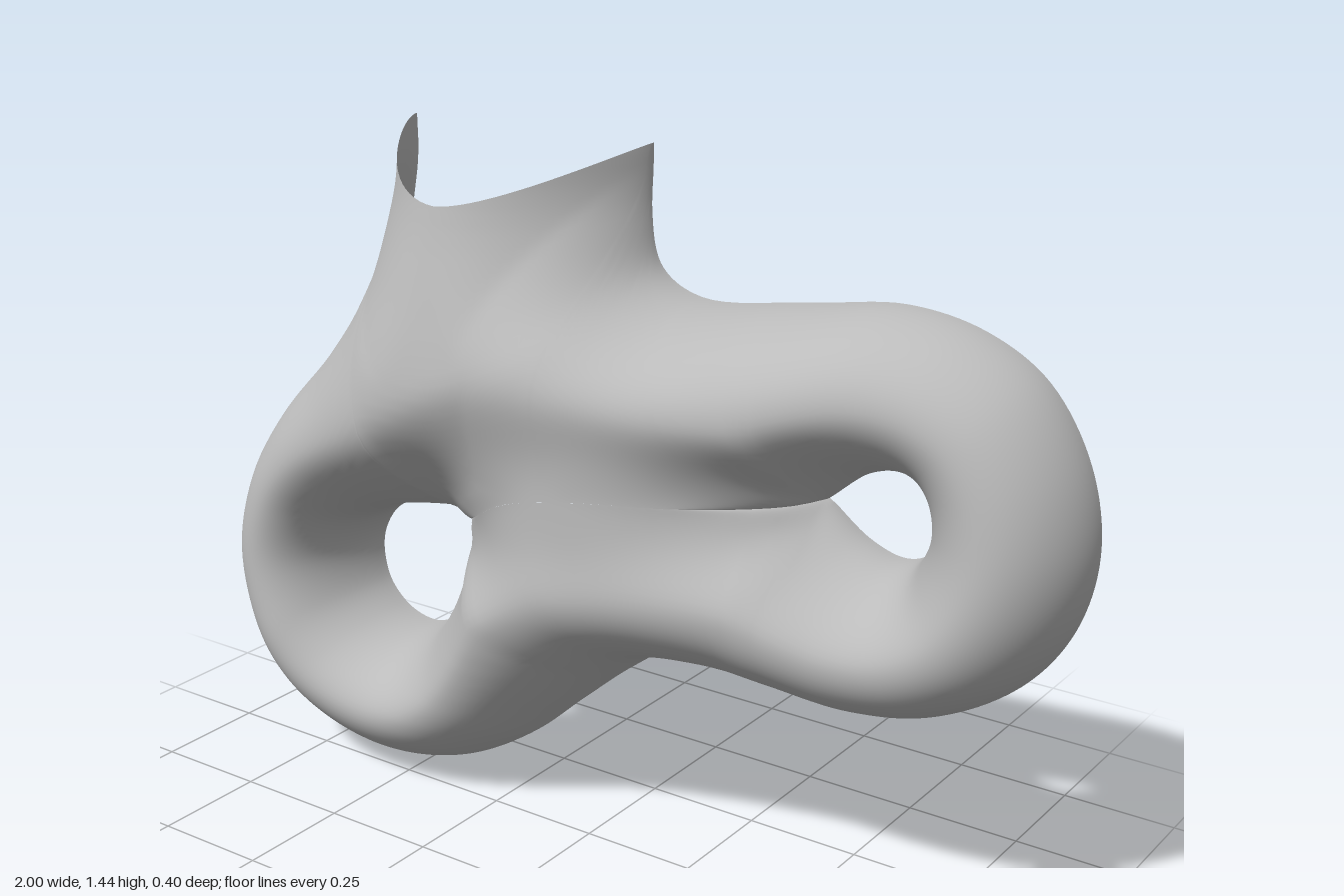
import * as THREE from 'three';

// Outline of the body, from the left neck corner round to the right neck corner
const OUTLINE = [
  [-.588, 1.44], [-.585, 1.305], [-.61, 1.13], [-.71, .97], [-.855, .81], [-.95, .66], [-1, .465], [-.95, .25],
  [-.83, .095], [-.685, .02], [-.54, 0], [-.39, .03], [-.257, .107], [-.123, .225], [0, .33], [.107, .4],
  [.25, .42], [.41, .41], [.57, .4], [.73, .43], [.877, .52], [.968, .652], [1, .807], [.968, .968],
  [.877, 1.107], [.75, 1.18], [.59, 1.207], [.385, 1.18], [.144, 1.155], [.053, 1.2], [.016, 1.305], [.01, 1.44],
];
// Two openings, each starting and ending at its pointed tip, and the valley joining the tips
const LOW_HOLE = [
  [-.375, .6], [-.43, .605], [-.49, .602], [-.54, .596], [-.61, .575], [-.67, .535], [-.7, .465], [-.68, .38],
  [-.63, .33], [-.575, .308], [-.52, .308], [-.46, .345], [-.41, .43], [-.385, .52], [-.375, .6],
];
const HIGH_HOLE = [
  [.445, .8], [.535, .735], [.61, .712], [.655, .725], [.682, .765], [.695, .815], [.685, .865],
  [.66, .892], [.61, .895], [.53, .868], [.445, .8],
];
const VALLEY = [[-.375, .6], [-.25, .68], [-.1, .765], [.05, .8], [.25, .805], [.445, .8]];

// Crest depth across the width and up the height
const CREST_X = [[-1, .09], [-.85, .11], [-.6, .158], [-.45, .198], [-.3, .213], [-.1, .195], [0, .173], [.2, .13], [.4, .08], [.6, .04], [.85, .03], [1, .02]];
const CREST_Y = [[0, .07], [.14, .105], [.3, .117], [.45, .15], [.6, .172], [.75, .185], [.9, .215], [1, .2], [1.1, .175], [1.33, .113], [1.44, .1]];

const { smoothstep, lerp } = THREE.MathUtils;
const curve = (pts) => new THREE.CatmullRomCurve3(pts.map(([x, y]) => new THREE.Vector3(x, y, 0)));

function lookUp(table, v) {
  if (v <= table[0][0]) return table[0][1];
  for (let i = 1; i < table.length; i++) {
    const [a, p] = table[i - 1], [b, q] = table[i];
    if (v <= b) return p + (q - p) * (v - a) / (b - a);
  }
  return table[table.length - 1][1];
}
const smoothLookUp = (t, v) => [-.08, -.04, 0, .04, .08].reduce((sum, o) => sum + lookUp(t, v + o) / 5, 0);

// Distance from (x, y) to a polyline
function distance(line, x, y) {
  let d = Infinity;
  for (let i = 0; i < line.length - 1; i++) {
    const a = line[i], b = line[i + 1], dx = b.x - a.x, dy = b.y - a.y;
    const f = Math.min(1, Math.max(0, ((x - a.x) * dx + (y - a.y) * dy) / (dx * dx + dy * dy || 1)));
    d = Math.min(d, Math.hypot(x - a.x - f * dx, y - a.y - f * dy));
  }
  return d;
}

const ellipse = (q) => Math.sqrt(Math.max(0, 1 - (1 - q) ** 2));
const parabola = (q) => 1 - (1 - q) ** 2;
const soft = (q) => q * q * (3 - 2 * q);

function createShell() {
  const outline = curve(OUTLINE), low = curve(LOW_HOLE), high = curve(HIGH_HOLE), valley = curve(VALLEY);
  const last = OUTLINE.length - 1;
  const wall = [new THREE.Vector3(-.588, 2.2, 0), ...outline.getPoints(last * 8), new THREE.Vector3(.01, 2.2, 0)];
  const innerLines = [low.getPoints(112), high.getPoints(80), valley.getPoints(96)];

  // Each inner edge point has a floor depth z and a softness k of the slope above it
  const floor = innerLines.flatMap((line) => line.map(({ x, y }, i) => {
    const arch = Math.max(0, Math.sin(Math.PI * i / (line.length - 1)));
    const inValley = line === innerLines[2];
    const z = Math.max(-.185, -.12 - .11 * y);
    return { x, y, z: inValley ? z + .335 * arch ** .6 : z, k: inValley ? Math.min(1, .5 + .8 * arch) : .5 - .5 * arch };
  }));

  // Rounded tube section between the outer rim and the nearest opening or valley
  function depth(x, y, onInnerEdge) {
    const dOut = distance(wall, x, y);
    const dIn = onInnerEdge ? 0 : Math.min(...innerLines.map((line) => distance(line, x, y)));
    const a = smoothLookUp(CREST_X, x), b = smoothLookUp(CREST_Y, y);
    const crest = (a + b - Math.hypot(a - b, .01)) / 2 - .08 * (y - .65) * smoothstep(x, .3, .9);
    const half = (dOut + dIn) / 2, wOut = Math.min(half, .3), wIn = Math.min(half, .27);
    if (dOut < wOut) {
      const zOut = -.157 - .012 * x - .018 * y - .02 * smoothstep(y, 1.2, 1.4), q = dOut / wOut;
      const flat = .18 + .5 * smoothstep(y, 1.05, 1.4) * (1 - smoothstep(x, 0, .2));
      return lerp(zOut, crest, lerp(ellipse(q), parabola(q), flat));
    }
    if (dIn < wIn) {
      let sum = 0, zIn = 0, k = 0;
      for (const p of floor) {
        const w = 1 / ((p.x - x) ** 2 + (p.y - y) ** 2 + 1e-4) ** 2;
        sum += w;
        zIn += w * p.z;
        k += w * p.k;
      }
      const q = dIn / wIn;
      return lerp(zIn / sum, crest, lerp(ellipse(q), soft(q), k / sum));
    }
    return crest;
  }

  // Matching stations on the outer and inner edges
  const stations = [], STEP = 8, NECK = 48;
  for (let i = 0; i <= last * STEP; i++) {
    const u = i / STEP;
    let inner;
    if (u <= 14) inner = low.getPoint(u / 14);
    else if (u <= 17) inner = valley.getPoint((u - 14) / 3);
    else if (u <= 27) inner = high.getPoint((u - 17) / 10);
    else inner = valley.getPoint(1 - .5 * (u - 27) / (last - 27));
    stations.push([outline.getPoint(u / last), inner]);
  }
  for (let i = 1; i <= NECK; i++) {
    const e = Math.cos(Math.PI * i / NECK);
    const edge = new THREE.Vector3(-.289 + .299 * e, 1.332 + .108 * Math.abs(e) ** 1.6, 0);
    stations.push([edge, valley.getPoint(.5 * (1 - i / NECK))]);
  }

  // Loft from the outer edge to the inner edge, closer rows near both
  const ROWS = 40, pos = [], index = [];
  stations.forEach(([o, n], i) => {
    for (let j = 0; j <= ROWS; j++) {
      const p = o.clone().lerp(n, (1 - Math.cos(Math.PI * j / ROWS)) / 2);
      pos.push(p.x, p.y, depth(p.x, p.y, j === ROWS));
      if (i < stations.length - 1 && j < ROWS) {
        const a = i * (ROWS + 1) + j, b = a + ROWS + 1;
        index.push(a, b, a + 1, b, b + 1, a + 1);
      }
    }
  });
  const geo = new THREE.BufferGeometry();
  geo.setAttribute('position', new THREE.Float32BufferAttribute(pos, 3));
  geo.setIndex(index);
  geo.computeVertexNormals();
  return geo;
}

export function createModel() {
  const group = new THREE.Group();
  group.name = 'halfShell';
  const grey = new THREE.MeshStandardMaterial({ color: 0xbbbbbb, side: THREE.DoubleSide });
  grey.name = 'plain grey';
  const shell = new THREE.Mesh(createShell(), grey);
  shell.name = 'twoHoledShell';
  group.add(shell);
  return group;
}
